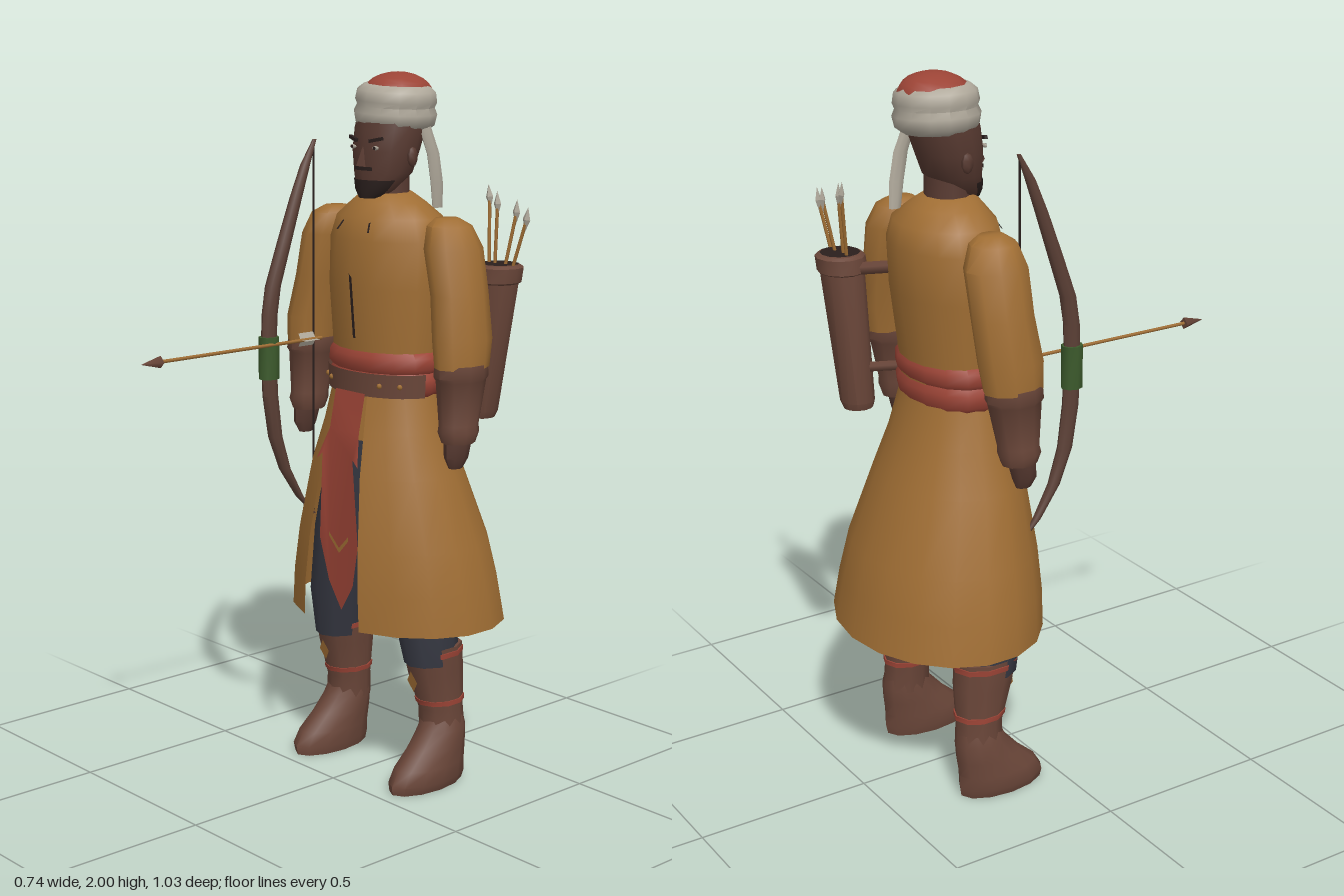
import * as THREE from 'three';
import { toCreasedNormals } from 'three/addons/utils/BufferGeometryUtils.js';

const mat = (name, color) => {
  const m = new THREE.MeshStandardMaterial({ color, side: THREE.DoubleSide });
  m.name = name;
  return m;
};

// Skin over horizontal ellipses [y, cx, cz, rx, rz], listed upward; arc = half angle left open at the front,
// or span = half angle covered around the front
function loft(rings, n = 14, { gap = 0, span = 0, crease = 0.9 } = {}) {
  const closed = !gap && !span;
  const a0 = span ? -span : gap, a1 = span || Math.PI * 2 - gap;
  const cols = closed ? n : n + 1, pos = [], idx = [];
  for (const [y, cx, cz, rx, rz] of rings)
    for (let i = 0; i < cols; i++) {
      const a = a0 + (a1 - a0) * i / n;
      pos.push(cx + rx * Math.sin(a), y, cz + rz * Math.cos(a));
    }
  for (let r = 0; r < rings.length - 1; r++)
    for (let i = 0; i < n; i++) {
      const j = (i + 1) % cols, p = r * cols, q = p + cols;
      idx.push(p + i, p + j, q + j, p + i, q + j, q + i);
    }
  if (closed) {
    const last = rings.length - 1, b = pos.length / 3;
    for (const r of [0, last]) pos.push(rings[r][1], rings[r][0], rings[r][2]);
    for (let i = 0; i < n; i++) {
      const j = (i + 1) % n;
      idx.push(b, j, i, b + 1, last * n + i, last * n + j);
    }
  }
  const g = new THREE.BufferGeometry();
  g.setAttribute('position', new THREE.Float32BufferAttribute(pos, 3));
  g.setIndex(idx);
  return toCreasedNormals(g, crease);
}

export function createModel() {
  const model = new THREE.Group();
  model.name = 'archer';
  const ochre = mat('ochre cloth', 0xa06e34), red = mat('red cloth', 0x9c4436),
    leather = mat('brown leather', 0x6a4639), skin = mat('dark skin', 0x583a31),
    slate = mat('slate trousers', 0x363842), cream = mat('pale wrap', 0xb0a99b),
    green = mat('green grip', 0x3c5a2c), dark = mat('dark hair', 0x2a1f1d),
    wood = mat('bow wood', 0x5c4036);

  const add = (name, geo, m, parent = model) => {
    const o = new THREE.Mesh(geo, m);
    o.name = name;
    parent.add(o);
    return o;
  };
  const plate = (pts, rule) => {
    const g = new THREE.ShapeGeometry(new THREE.Shape(pts.map(p => new THREE.Vector2(...p))));
    const p = g.attributes.position;
    for (let i = 0; i < p.count; i++) p.setZ(i, rule(p.getY(i), p.getX(i)));
    g.computeVertexNormals();
    return g;
  };
  const rod = (name, a, b, r0, r1, m, n = 6) => {
    const A = new THREE.Vector3(...a), d = new THREE.Vector3(...b).sub(A);
    const o = add(name, new THREE.CylinderGeometry(r1, r0, d.length(), n), m);
    o.position.copy(A).addScaledVector(d, 0.5);
    o.quaternion.setFromUnitVectors(new THREE.Vector3(0, 1, 0), d.normalize());
    return o;
  };

  // Robe
  add('tunic', loft([[1.12, 0, -.2, .165, .12], [1.25, 0, -.2, .175, .125], [1.42, 0, -.205, .187, .143],
    [1.55, 0, -.21, .188, .143], [1.61, 0, -.21, .165, .13], [1.65, 0, -.205, .11, .095], [1.675, 0, -.2, .07, .07]], 16), ochre);
  add('skirt', loft([[.47, 0, -.25, .345, .272], [.58, 0, -.24, .33, .262], [.7, 0, -.23, .305, .243],
    [.9, 0, -.207, .245, .192], [1.02, 0, -.2, .2, .155], [1.14, 0, -.196, .168, .125]], 16, { gap: .34 }), ochre);
  add('upperSkirtFront', loft([[1.0, 0, -.2, .2, .154], [1.14, 0, -.196, .168, .125]], 4, { span: .36 }), ochre);
  const hang = y => y > .95 ? -.028 - (y - .95) * .2 : -.018 - (.95 - y) * .03;
  add('frontCloth', plate([[-.06, 1.13], [-.06, 1.02], [-.09, .93], [-.065, .95], [-.085, .7], [-.05, .58], [0, .5],
    [.05, .58], [.075, .7], [.06, .95], [.08, .93], [.06, 1.02], [.06, 1.13]], hang), red);
  add('frontClothChevron', plate([[-.04, .725], [0, .685], [.04, .725], [.04, .712], [0, .67], [-.04, .712]], y => hang(y) + .004), ochre);
  add('tunicSeam', plate([[.004, 1.28], [.014, 1.28], [.014, 1.45], [.004, 1.46]], y => -.072 + (y - 1.28) * .09 + .002), dark);
  for (const s of [-1, 1])
    add('collarMark', plate([[s * .045, 1.61], [s * .052, 1.61], [s * .066, 1.575], [s * .059, 1.575]], y => -.074 - (y - 1.58) * .6), dark);

  // Sash rolls and belt
  add('upperSash', loft([[1.185, 0, -.198, .176, .122], [1.2, 0, -.198, .188, .132], [1.23, 0, -.198, .187, .131], [1.245, 0, -.198, .174, .122]], 16), red);
  add('lowerSash', loft([[1.12, 0, -.198, .17, .12], [1.135, 0, -.198, .184, .128], [1.17, 0, -.198, .188, .132], [1.19, 0, -.198, .176, .122]], 16), red);
  add('belt', loft([[1.122, 0, -.198, .186, .133], [1.188, 0, -.198, .19, .137]], 12, { span: 1.4 }), leather);
  for (const a of [-.9, -.55, .55, .9])
    add('beltStud', new THREE.SphereGeometry(.008, 6, 4), ochre).position.set(.188 * Math.sin(a), 1.155, -.198 + .135 * Math.cos(a));

  // Limbs, mirrored
  for (const s of [-1, 1]) {
    const side = s > 0 ? 'left' : 'right', part = (n, rings, m, k = 10) =>
      add(side + n, loft(rings.map(([y, x, ...r]) => [y, s * x, ...r]), k), m);
    part('Sleeve', [[1.225, .305, -.195, .062, .085], [1.3, .3, -.2, .066, .094], [1.42, .277, -.21, .068, .088],
      [1.54, .25, -.212, .072, .088], [1.6, .235, -.21, .058, .065], [1.62, .225, -.21, .03, .035]], ochre);
    part('Bracer', [[1.02, .31, -.18, .042, .05], [1.05, .31, -.18, .053, .06], [1.07, .308, -.182, .05, .058],
      [1.19, .305, -.192, .06, .076], [1.2, .305, -.192, .066, .082], [1.235, .304, -.193, .064, .08]], leather);
    part('Hand', [[.95, .312, -.168, .016, .022], [.98, .314, -.168, .03, .036], [1.03, .312, -.175, .036, .042]], skin, 8);
    part('Trouser', [[.36, .19, -.205, .068, .085], [.5, .178, -.19, .084, .095], [.7, .14, -.19, .098, .105], [1.0, .085, -.195, .085, .1]], slate);
    part('BootShaft', [[.15, .2, -.24, .06, .07], [.22, .196, -.238, .058, .068], [.33, .19, -.222, .068, .088], [.41, .187, -.21, .073, .094]], leather);
    part('Shoe', [[0, .205, -.172, .062, .13], [.025, .207, -.173, .07, .134], [.065, .206, -.185, .068, .122],
      [.11, .204, -.213, .064, .098], [.16, .202, -.236, .062, .076], [.195, .199, -.24, .054, .066]], leather, 12);
    part('BootUpperBand', [[.383, .188, -.213, .074, .095], [.398, .188, -.212, .075, .096]], red);
    part('BootLowerBand', [[.237, .195, -.236, .063, .075], [.251, .194, -.234, .064, .077]], red);
    add(side + 'BootDiamond', plate([[s * .188 - .02, .312], [s * .188, .28], [s * .188 + .02, .312], [s * .188, .344]],
      y => -.132 + (y - .312) * .2), ochre);
  }

  // Head
  add('neck', loft([[1.6, 0, -.2, .07, .068], [1.67, 0, -.2, .064, .062], [1.75, 0, -.2, .062, .06]], 10), skin);
  add('head', loft([[1.665, 0, -.145, .036, .034], [1.685, 0, -.16, .06, .052], [1.73, 0, -.185, .085, .077],
    [1.79, 0, -.195, .098, .088], [1.85, 0, -.21, .102, .095], [1.92, 0, -.225, .095, .092]], 14, { crease: 1.3 }), skin);
  add('beard', loft([[1.662, 0, -.144, .036, .037], [1.685, 0, -.16, .063, .056], [1.712, 0, -.177, .08, .071]], 8, { span: 1.3 }), dark);
  add('moustache', loft([[1.738, 0, -.185, .09, .081], [1.748, 0, -.187, .092, .083]], 6, { span: .4 }), dark);
  const nose = add('nose', new THREE.ConeGeometry(.018, .06, 4), skin);
  nose.position.set(0, 1.778, -.106);
  nose.rotation.x = -.15;
  for (const s of [-1, 1]) {
    const eye = add('eye', new THREE.SphereGeometry(.013, 8, 6), cream);
    eye.scale.set(1, .45, .3);
    eye.position.set(s * .045, 1.8, -.114);
    add('pupil', new THREE.CircleGeometry(.005, 8), dark).position.set(s * .045, 1.8, -.109);
    const brow = add('eyebrow', new THREE.BoxGeometry(.042, .009, .009), dark);
    brow.position.set(s * .045, 1.822, -.115);
    brow.rotation.set(0, s * .3, s * .2);
    const ear = add('ear', new THREE.SphereGeometry(.025, 6, 5), skin);
    ear.scale.set(.4, 1.1, .7);
    ear.position.set(s * .1, 1.775, -.2);
  }

  // Turban
  const turban = add('turbanWrap', loft([[-.055, 0, 0, .09, .09], [-.04, 0, 0, .11, .11], [-.01, 0, 0, .116, .116],
    [.008, 0, 0, .108, .108], [.022, 0, 0, .115, .113], [.05, 0, 0, .11, .108], [.066, 0, 0, .09, .09]], 14), cream);
  turban.position.set(0, 1.9, -.23);
  turban.rotation.z = -.06;
  const cap = add('turbanCap', new THREE.SphereGeometry(.098, 10, 6, 0, Math.PI * 2, 0, Math.PI / 2), red);
  cap.scale.y = .6;
  cap.position.set(0, 1.9412, -.238);
  add('turbanTail', loft([[1.63, .092, -.305, .01, .018], [1.7, .096, -.297, .012, .022], [1.78, .096, -.282, .012, .022],
    [1.85, .088, -.258, .014, .02], [1.89, .08, -.25, .014, .018]], 8), cream);

  // Bow, rings along the limbs
  const bow = [[.73, -.11, .006], [.79, -.055, .012], [.88, 0, .018], [.98, .035, .022], [1.1, .052, .024], [1.21, .057, .024],
    [1.33, .053, .024], [1.41, .04, .024], [1.53, -.002, .022], [1.65, -.045, .019], [1.74, -.08, .015], [1.81, -.115, .006]];
  add('bow', loft(bow.map(([y, z, r]) => [y, -.208, z, r * .85, r]), 8), wood);
  add('bowGrip', loft([[1.15, -.208, .056, .027, .031], [1.27, -.208, .056, .027, .031]], 8), green);
  rod('bowString', [-.208, .74, -.108], [-.208, 1.8, -.112], .003, .003, dark, 5);

  // Drawn arrow
  rod('arrowShaft', [-.185, 1.25, -.12], [-.185, 1.25, .46], .005, .005, ochre);
  rod('arrowPoint', [-.185, 1.25, .45], [-.185, 1.25, .512], .017, .001, leather, 4);
  for (let i = 0; i < 3; i++) {
    const f = add('arrowFeather', new THREE.PlaneGeometry(.02, .055).translate(.012, 0, 0).rotateX(Math.PI / 2), cream);
    f.position.set(-.185, 1.25, -.07);
    f.rotation.z = i * Math.PI * 2 / 3;
  }

  // Quiver with arrows and straps
  add('quiver', loft([[1.05, .21, -.367, .04, .042], [1.07, .212, -.368, .048, .048], [1.43, .25, -.382, .062, .06],
    [1.435, .25, -.382, .07, .068], [1.475, .255, -.385, .07, .068], [1.482, .255, -.385, .06, .058]], 12, { crease: .6 }), leather);
  const mouth = add('quiverMouth', new THREE.CircleGeometry(.055, 12).rotateX(-Math.PI / 2), dark);
  mouth.position.set(.255, 1.484, -.385);
  rod('upperStrap', [.13, 1.46, -.3], [.225, 1.44, -.37], .018, .018, leather);
  rod('lowerStrap', [.12, 1.18, -.28], [.215, 1.16, -.36], .015, .015, leather);
  for (const [x, y, z] of [[.19, 1.66, -.41], [.235, 1.645, -.395], [.288, 1.625, -.415], [.34, 1.61, -.4]]) {
    rod('quiverArrow', [.255 + (x - .26) * .4, 1.4, -.375], [x, y, z], .005, .005, ochre, 5);
    const tip = add('quiverArrowTip', new THREE.OctahedronGeometry(1), cream);
    tip.scale.set(.014, .035, .009);
    tip.position.set(x, y, z);
    tip.rotation.z = (.26 - x) * 2;
  }
  return model;
}
